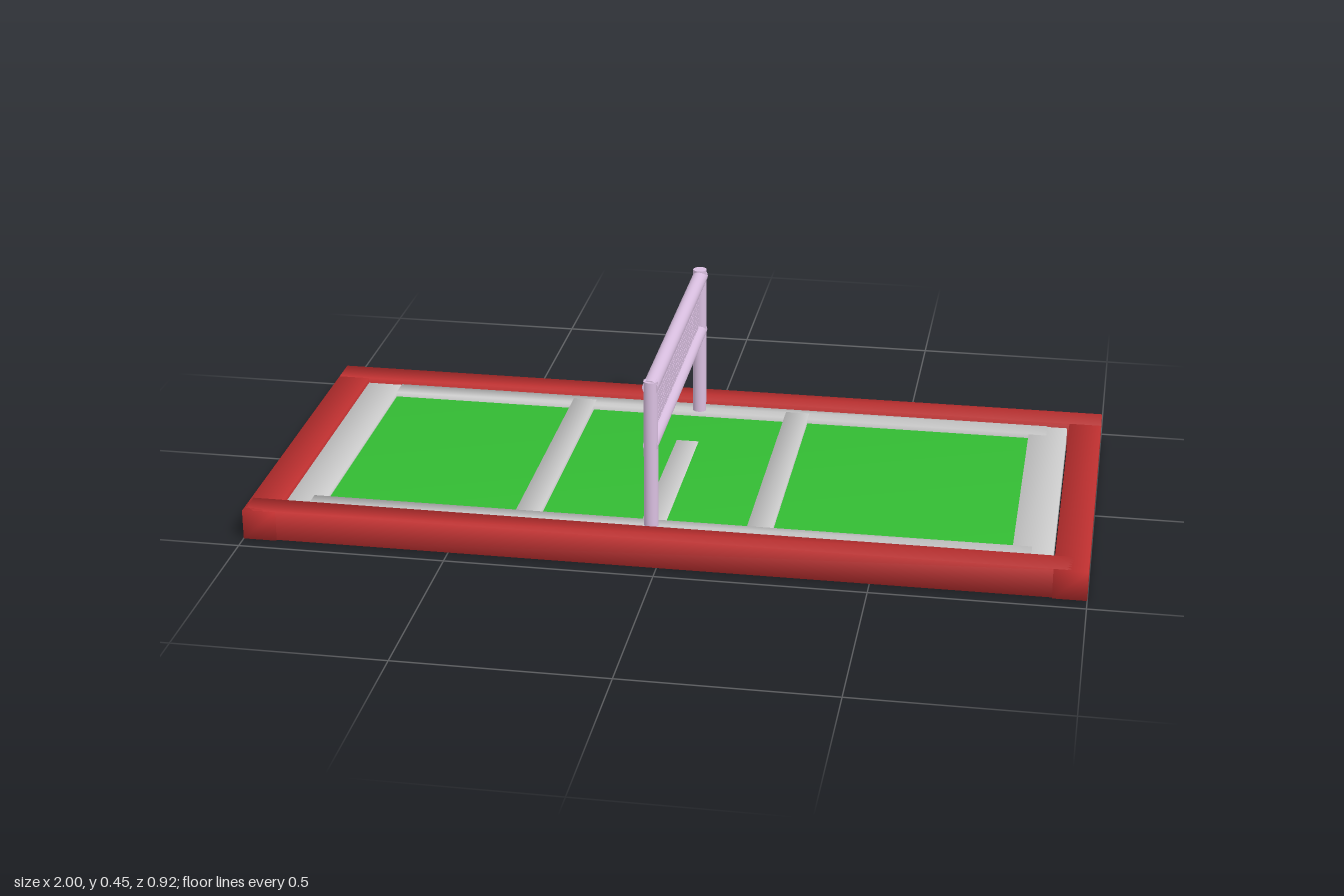
import * as THREE from 'three';
import { mergeVertices, mergeGeometries } from 'three/addons/utils/BufferGeometryUtils.js';

const mat = (color) => new THREE.MeshStandardMaterial({ color });
const red = mat(0xbf3030), green = mat(0x33bb33), grey = mat(0xcccccc), lilac = mat(0xd9bfe0);

// Box from min/max ranges with corner normals averaged across its faces
function board(name, [x0, x1], [y0, y1], [z0, z1], material) {
  let geo = new THREE.BoxGeometry(x1 - x0, y1 - y0, z1 - z0);
  geo.deleteAttribute('normal');
  geo.deleteAttribute('uv');
  geo = mergeVertices(geo);
  geo.computeVertexNormals();
  const mesh = new THREE.Mesh(geo, material);
  mesh.position.set((x0 + x1) / 2, (y0 + y1) / 2, (z0 + z1) / 2);
  mesh.name = name;
  return mesh;
}

// Round bar between two points
function bar(name, a, b, radius) {
  const from = new THREE.Vector3(...a), to = new THREE.Vector3(...b);
  const dir = to.clone().sub(from);
  const mesh = new THREE.Mesh(new THREE.CylinderGeometry(radius, radius, dir.length(), 32), lilac);
  mesh.position.copy(from).add(to).multiplyScalar(0.5);
  mesh.quaternion.setFromUnitVectors(new THREE.Vector3(0, 1, 0), dir.normalize());
  mesh.name = name;
  return mesh;
}

// Woven net: thin threads, sheared to follow the slight slope of the bars
function net(x, zBack, zFront, yLow, yHigh, slope) {
  const parts = [], t = 0.0022, cols = 58, rows = 11;
  const zMid = (zBack + zFront) / 2, yMid = (yLow + yHigh) / 2;
  for (let i = 0; i <= cols; i++) {
    const z = zBack + (zFront - zBack) * i / cols;
    parts.push(new THREE.BoxGeometry(t, yHigh - yLow, t).translate(x, yMid, z));
  }
  for (let j = 0; j <= rows; j++) {
    const y = yLow + (yHigh - yLow) * j / rows;
    parts.push(new THREE.BoxGeometry(t, t, zFront - zBack).translate(x, y, zMid));
  }
  const geo = mergeGeometries(parts);
  const p = geo.attributes.position;
  for (let i = 0; i < p.count; i++) p.setY(i, p.getY(i) - slope * (p.getZ(i) - zMid));
  const mesh = new THREE.Mesh(geo, lilac);
  mesh.name = 'net';
  return mesh;
}

export function createModel() {
  const model = new THREE.Group();
  model.name = 'netCourt';

  // Outer border beams
  const h = [0, 0.073];
  model.add(
    board('frontBeam', [-0.995, 0.995], h, [0.385, 0.455], red),
    board('backBeam', [-1, 1], h, [-0.46, -0.385], red),
    board('rightBeam', [-1, -0.92], h, [-0.385, 0.46], red),
    board('leftBeam', [0.92, 1], h, [-0.385, 0.46], red));

  // Playing surface
  model.add(board('courtSurface', [-0.87, 0.87], [0.012, 0.05], [-0.37, 0.37], green));

  // Boundary lines
  model.add(
    board('rightEndLine', [-0.92, -0.83], [0.005, 0.06], [-0.39, 0.39], grey),
    board('leftEndLine', [0.82, 0.915], [0.005, 0.06], [-0.39, 0.39], grey),
    board('frontSideLine', [-0.86, 0.865], [0.005, 0.065], [0.33, 0.385], grey),
    board('backSideLine', [-0.83, 0.865], [0.005, 0.062], [-0.387, -0.33], grey));

  // Lines across the court
  for (const x of [-0.333, 0.225])
    model.add(board('crossLine', [x - 0.03, x + 0.03], [0.005, 0.063], [-0.365, 0.36], grey));
  const centreLine = board('centreLine', [-0.058, -0.002], [0.008, 0.052], [-0.37, 0.36], grey);
  centreLine.rotation.x = -0.012;
  model.add(centreLine);

  // Posts, bars and net
  const x = -0.028;
  const netFrame = new THREE.Group();
  netFrame.name = 'netFrame';
  netFrame.add(
    bar('frontPost', [x, 0.03, 0.361], [x, 0.434, 0.361], 0.017),
    bar('backPost', [x, 0.03, -0.348], [x, 0.448, -0.348], 0.017),
    bar('topBar', [x, 0.419, 0.37], [x, 0.427, -0.36], 0.0185),
    bar('bottomBar', [x, 0.273, 0.37], [x, 0.282, -0.36], 0.0175),
    net(x, -0.335, 0.347, 0.285, 0.415, 0.012));
  model.add(netFrame);

  return model;
}
